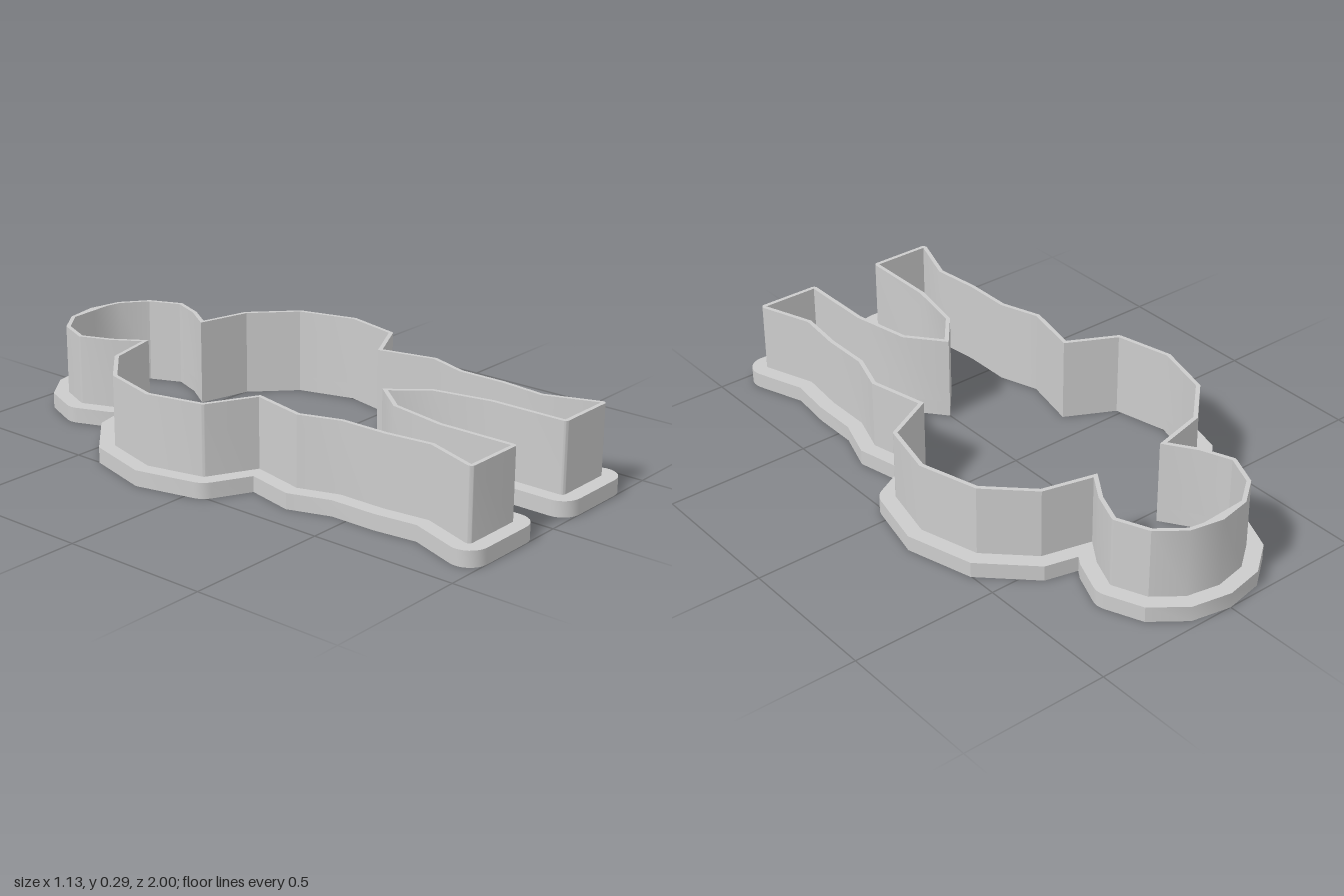
import * as THREE from 'three';
import { toCreasedNormals } from 'three/addons/utils/BufferGeometryUtils.js';

// Inner cutting outline, left half as [x, z], from top of head to crotch
const HALF = [
  [0, -0.935], [0.107, -0.914], [0.19, -0.85], [0.235, -0.745], [0.195, -0.643],
  [0.127, -0.54], [0.31, -0.495], [0.445, -0.365], [0.5, -0.17], [0.457, 0.018],
  [0.29, 0.104], [0.335, 0.3], [0.29, 0.435], [0.29, 0.6], [0.272, 0.758],
  [0.335, 0.935], [0.14, 0.935], [0.14, 0.675], [0.1, 0.474], [0, 0.352],
];
const WALL = 0.014, FLANGE = 0.065;
const FLANGE_TOP = 0.053, HEIGHT = 0.29;

// Full clockwise outline in the extrusion plane (y = -z)
function outline() {
  const left = HALF.map(([x, z]) => new THREE.Vector2(x, -z));
  const right = left.slice(1, -1).reverse().map((p) => new THREE.Vector2(-p.x, p.y));
  return [...left, ...right];
}

// Grow the outline by d: mitred at shallow and inward corners, rounded at strong outward ones
function grow(points, d) {
  const n = points.length, result = [];
  for (let i = 0; i < n; i++) {
    const p = points[i];
    const a = p.clone().sub(points[(i + n - 1) % n]).normalize();
    const b = points[(i + 1) % n].clone().sub(p).normalize();
    const turn = Math.atan2(a.cross(b), a.dot(b));
    const start = Math.atan2(a.x, -a.y);
    if (turn < -0.75) {
      const steps = Math.ceil(-turn / 0.25);
      for (let k = 0; k <= steps; k++) {
        const t = start + (turn * k) / steps;
        result.push(new THREE.Vector2(p.x + d * Math.cos(t), p.y + d * Math.sin(t)));
      }
    } else {
      const t = start + turn / 2, r = d / Math.cos(turn / 2);
      result.push(new THREE.Vector2(p.x + r * Math.cos(t), p.y + r * Math.sin(t)));
    }
  }
  return result;
}

export function createModel() {
  const group = new THREE.Group();
  group.name = 'cookieCutter';
  const grey = new THREE.MeshStandardMaterial({ color: 0xcccccc });
  grey.name = 'grey plastic';
  const inner = outline();
  // The hole runs the opposite way round, so its walls face inward
  const hole = new THREE.Path([...inner].reverse());

  // A band around the outline, between two heights
  function band(name, width, bottom, top) {
    const shape = new THREE.Shape(grow(inner, width));
    shape.holes.push(hole);
    const geometry = new THREE.ExtrudeGeometry(shape, { depth: top - bottom, bevelEnabled: false });
    geometry.rotateX(-Math.PI / 2);
    geometry.translate(0, bottom, 0);
    const mesh = new THREE.Mesh(toCreasedNormals(geometry, 0.5), grey);
    mesh.name = name;
    group.add(mesh);
  }

  band('gripFlange', FLANGE, 0, FLANGE_TOP);
  band('cuttingWall', WALL, FLANGE_TOP, HEIGHT);
  return group;
}
